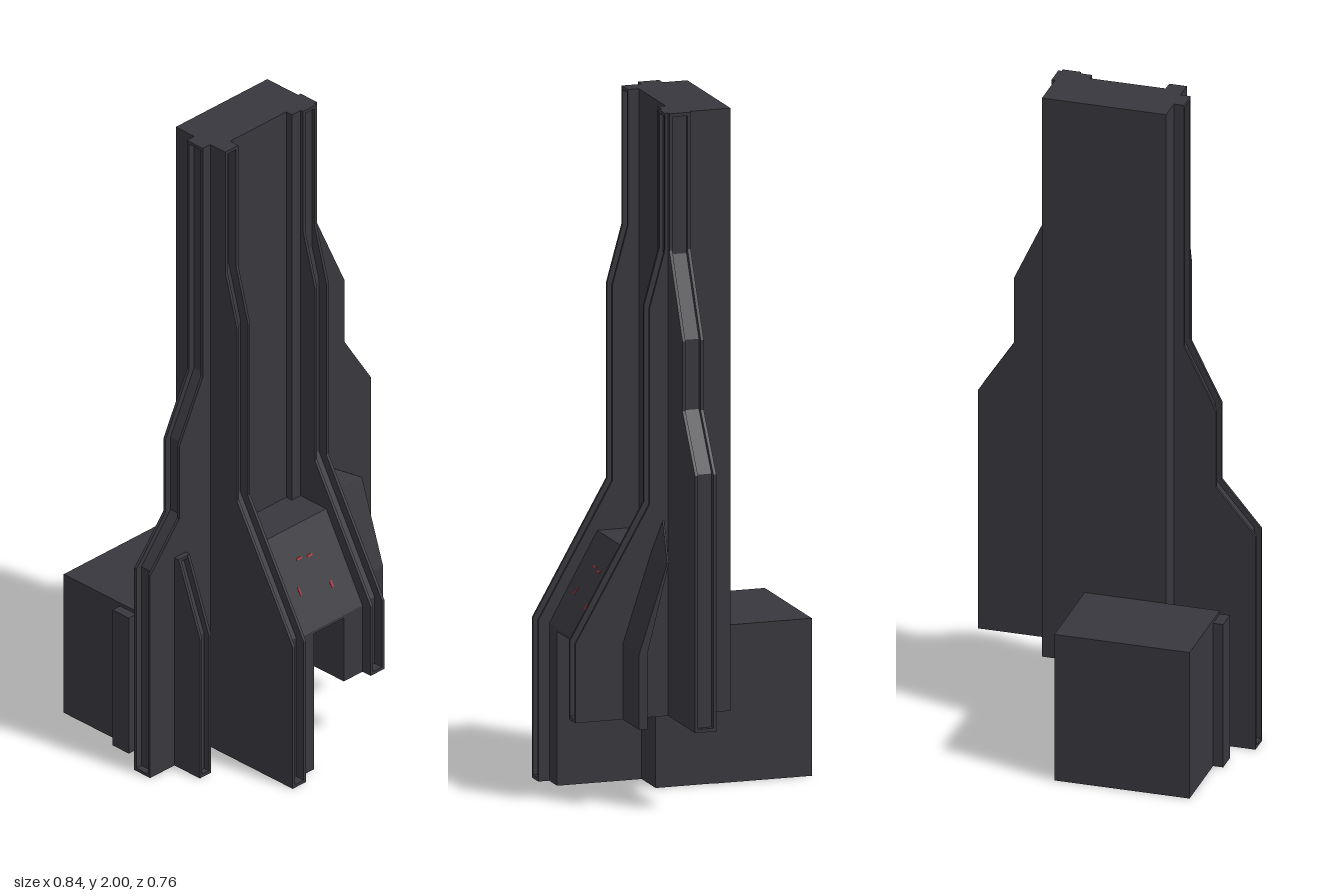
import * as THREE from 'three';

export function createModel() {
  const model = new THREE.Group();
  model.name = 'tower';
  const hull = new THREE.MeshStandardMaterial({ color: 0x38373d });
  hull.name = 'dark hull';
  const red = new THREE.MeshStandardMaterial({ color: 0xb03034 });
  red.name = 'red marking';

  const add = (name, geometry, material = hull, parent = model) => {
    const mesh = new THREE.Mesh(geometry, material);
    mesh.name = name;
    parent.add(mesh);
    return mesh;
  };

  // box given by its limits
  const box = (name, x0, x1, y0, y1, z0, z1) =>
    add(name, new THREE.BoxGeometry(x1 - x0, y1 - y0, z1 - z0))
      .position.set((x0 + x1) / 2, (y0 + y1) / 2, (z0 + z1) / 2);

  // outline in (x, y) extruded along z, or in (z, y) extruded along x
  const slab = (points, axis, from, to) => {
    const shape = new THREE.Shape(points.map(([u, y]) => new THREE.Vector2(u, y)));
    const g = new THREE.ExtrudeGeometry(shape, { depth: to - from, bevelEnabled: false });
    if (axis === 'z') return g.translate(0, 0, from);
    return g.rotateY(-Math.PI / 2).translate(to, 0, 0);
  };

  // buttress with a groove along its outer edge; edge runs from bottom to top
  const buttress = (name, axis, base, edge, from, to, depth, side = 1) => {
    const group = new THREE.Group();
    group.name = name;
    model.add(group);
    const wall = 0.009, lip = 0.01;
    const first = edge[0], last = edge[edge.length - 1];
    const outline = [[base, first[1]], ...edge, [base, last[1]]];
    const core = [
      [base, first[1]], first, [first[0], first[1] + lip], [first[0] - depth, first[1] + lip],
      ...edge.slice(1, -1).map(([u, y]) => [u - depth, y]),
      [last[0] - depth, last[1] - lip], [last[0], last[1] - lip], last, [base, last[1]],
    ];
    const mirror = (pts) => pts.map(([u, y]) => [u * side, y]);
    add('wall', slab(mirror(outline), axis, from, from + wall), hull, group);
    add('core', slab(mirror(core), axis, from + wall, to - wall), hull, group);
    add('wall', slab(mirror(outline), axis, to - wall, to), hull, group);
  };

  // main shaft, its lower foot and the rear block
  box('shaft', -0.18, 0.19, 0.24, 2, -0.09, 0.075);
  box('foot', -0.18, 0.06, 0, 0.45, -0.09, 0.09);
  box('rearBlock', -0.34, 0.063, 0, 0.46, -0.38, -0.09);
  box('rearStep', -0.37, -0.3, 0, 0.45, -0.155, -0.09);

  // sloped front housing with a doorway in the middle
  for (const [name, x0, x1, y0] of [
    ['housingRight', -0.13, -0.06, 0],
    ['housingMiddle', -0.06, 0.06, 0.45],
    ['housingLeft', 0.06, 0.137, 0.24],
  ]) {
    add(name, slab([[0.07, y0], [0.345, y0], [0.345, 0.46], [0.2, 0.72], [0.07, 0.72]], 'x', x0, x1));
  }

  // tall front rails
  const rail = (y0) => [[0.378, y0], [0.378, 0.47], [0.155, 0.86], [0.155, 1.43], [0.108, 1.6], [0.108, 2]];
  buttress('frontRailRight', 'x', 0.03, rail(0), -0.18, -0.127, 0.03);
  buttress('frontRailLeft', 'x', 0.03, rail(0.24), 0.135, 0.19, 0.03);

  // stepped side fins
  buttress('sideFinLeft', 'z', 0.1,
    [[0.42, 0.24], [0.42, 0.99], [0.312, 1.155], [0.312, 1.36], [0.2, 1.6], [0.2, 2]], 0.034, 0.098, 0.016);
  buttress('sideFinRight', 'z', 0.1,
    [[0.423, 0], [0.423, 0.67], [0.305, 0.81], [0.305, 1.05], [0.21, 1.24], [0.21, 2]], -0.016, 0.048, 0.02, -1);
  buttress('smallFin', 'x', 0.03,
    [[0.15, 0], [0.15, 0.46], [0.065, 0.69]], -0.325, -0.28, 0.02);

  // bent armour sheet beside the left rail, made of front and back skins with a rim
  const sheet = [
    [0.19, 0.24, 0.235], [0.33, 0.24, 0.235], [0.33, 0.46, 0.235],
    [0.33, 0.72, 0.15], [0.19, 0.81, 0.115], [0.19, 0.46, 0.235],
  ];
  const inner = sheet.map(([x, y, z], i) => [x, y, i === 3 || i === 4 ? z - 0.005 : z - 0.025]);
  const low = [0.19, 0.72, 0.15], lowBack = [0.19, 0.72, 0.128];
  const pos = [];
  const face = (...p) => {
    for (let i = 1; i < p.length - 1; i++) pos.push(...p[0], ...p[i], ...p[i + 1]);
  };
  const skin = (s, l, flip) => {
    for (const f of [[s[0], s[1], s[2], s[5]], [s[5], s[2], s[3], l], [l, s[3], s[4]]]) {
      face(...(flip ? f.reverse() : f));
    }
  };
  skin(sheet, low, false);
  skin(inner, lowBack, true);
  sheet.forEach((p, i) => {
    const j = (i + 1) % sheet.length;
    face(p, inner[i], inner[j], sheet[j]);
  });
  const sheetGeometry = new THREE.BufferGeometry();
  sheetGeometry.setAttribute('position', new THREE.Float32BufferAttribute(pos, 3));
  sheetGeometry.computeVertexNormals();
  add('armourSheet', sheetGeometry);

  // small worn paint flecks on the sloped housing
  const tilt = Math.atan2(0.145, 0.26);
  for (const [x, y, w, h] of [
    [-0.02, 0.64, 0.02, 0.006], [0.02, 0.635, 0.02, 0.006],
    [-0.06, 0.565, 0.006, 0.025], [0.058, 0.545, 0.008, 0.02],
  ]) {
    const fleck = add('paintFleck', new THREE.BoxGeometry(w, h, 0.003), red);
    fleck.position.set(x, y, 0.345 - (y - 0.46) * Math.tan(tilt));
    fleck.rotation.x = -tilt;
  }

  return model;
}
